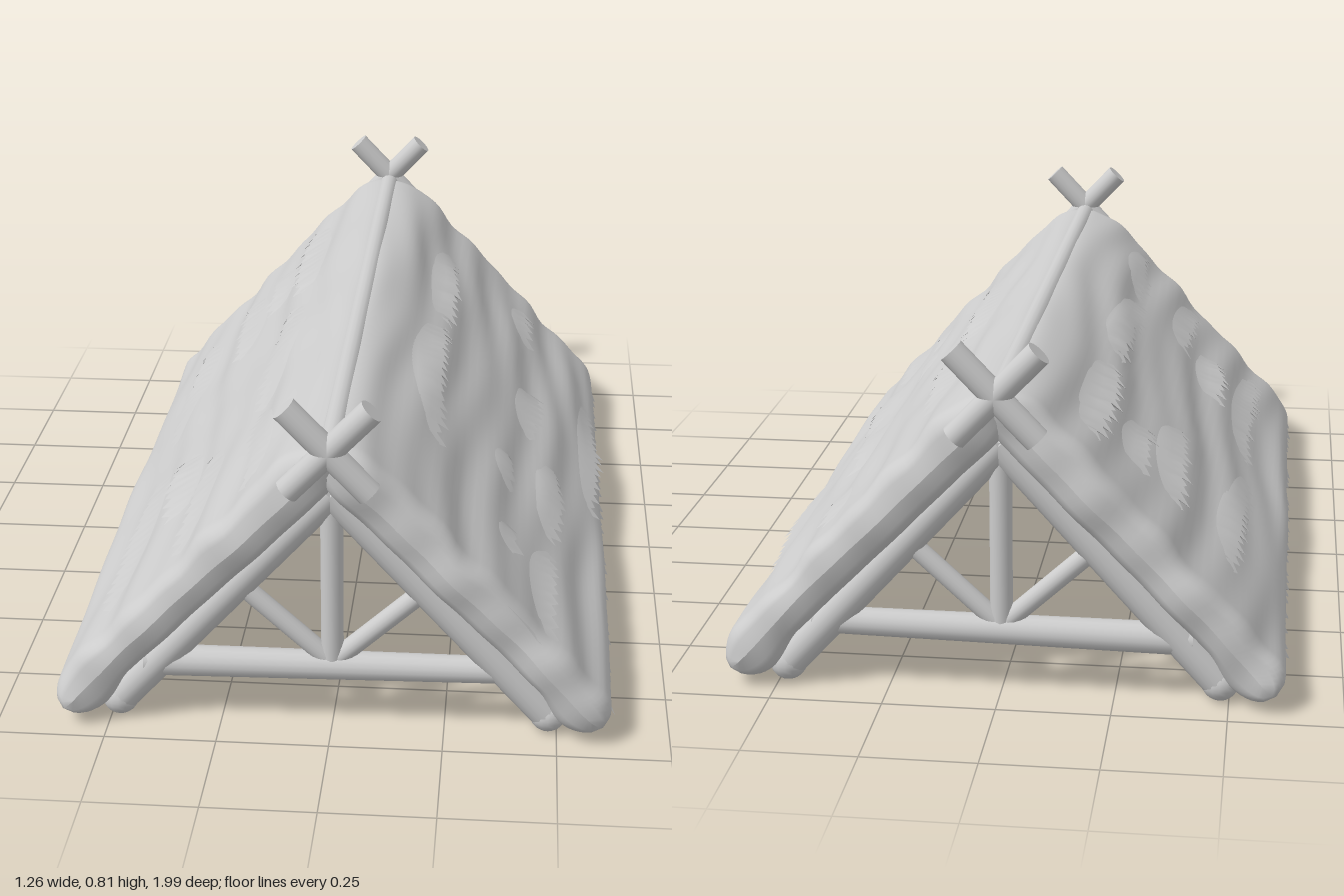
import * as THREE from 'three';

const material = new THREE.MeshStandardMaterial({ color: 0xcccccc, side: THREE.DoubleSide });
material.name = 'pale grey';

// Slope coordinates: s runs from ridge to eave, t points out of the roof
const onSlope = (s, t, z) => [0.7 * s + 0.71 * t, 0.635 - 0.71 * s + 0.7 * t, z];
const S0 = -0.05, S1 = 0.855, ZE = 0.97;
const smooth = THREE.MathUtils.smoothstep;

function random(seed) {
  return () => {
    seed = (seed * 16807) % 2147483647;
    return seed / 2147483647;
  };
}

// Uneven folds in the straw, running mostly along the roof
const lumps = (s, z, p) =>
  0.004 * Math.sin(29 * s + 1.7 * Math.sin(2.3 * z + p) + p) +
  0.003 * Math.sin(47 * s + 2.1 * Math.sin(3.7 * z - p)) +
  0.003 * Math.sin(8.3 * z + 13 * s + p) * Math.sin(5.1 * z - 6 * s);

const outerT = (s, z, p) => 0.094 - 0.034 * s + lumps(s, z, p);

// Underside: a sunken field for the lining inside a rim that swells at the eave
function innerT(s, z) {
  const inside = smooth(s, 0.03, 0.07) * (1 - smooth(s, 0.7, 0.74)) * (1 - smooth(Math.abs(z), 0.83, 0.87));
  return -0.036 + 0.05 * inside - 0.022 * smooth(s, 0.68, 0.78);
}

// Rounding near an edge at distance d
const rounding = (d, r, e) => (d >= r ? 1 : Math.pow(Math.max(0, 1 - Math.pow(1 - d / r, e)), 1 / e));

function gridGeometry(rows, cols, pointAt, wrap) {
  const pos = [], index = [];
  for (let j = 0; j < rows; j++) for (let i = 0; i < cols; i++) pos.push(...pointAt(j, i));
  const last = wrap ? cols : cols - 1;
  for (let j = 0; j < rows - 1; j++) {
    for (let i = 0; i < last; i++) {
      const a = j * cols + i, b = j * cols + (i + 1) % cols, c = a + cols, d = b + cols;
      index.push(a, c, b, b, c, d);
    }
  }
  const g = new THREE.BufferGeometry();
  g.setAttribute('position', new THREE.Float32BufferAttribute(pos, 3));
  g.setIndex(index);
  g.computeVertexNormals();
  return g;
}

function add(parent, name, geometry) {
  const m = new THREE.Mesh(geometry, material);
  m.name = name;
  parent.add(m);
  return m;
}

// Thick straw body: closed sections swept along the ridge direction
function thatchBody(p) {
  const half = 48, rows = 120;
  return gridGeometry(rows, half * 2, (j, i) => {
    const v = j / (rows - 1);
    const z = ZE * (0.45 * (2 * v - 1) - 0.55 * Math.cos(Math.PI * v));
    const u = i < half ? i / half : 2 - i / half;
    let s = S0 + (S1 - S0) * (0.4 * u + 0.3 * (1 - Math.cos(Math.PI * u)));
    const endK = rounding(ZE - Math.abs(z), 0.06, 2.2);
    const ridgeR = i < half ? 0.17 : 0.1;
    const e = rounding(s - S0, ridgeR, 2) * rounding(S1 - s, 0.08, 2.1);
    const t = i < half ? outerT(s, z, p) : innerT(s, z);
    const mid = 0.022 - 0.012 * smooth(s, 0.6, 0.85);
    s = 0.4 + (s - 0.4) * (1 - 0.09 * (1 - endK));
    const wobble = (0.005 * Math.sin(19 * s + p) + 0.003 * Math.sin(43 * s - p)) * smooth(Math.abs(z), 0.85, 0.97);
    return onSlope(s, mid + (t - mid) * e * endK, z + Math.sign(z) * wobble);
  }, true);
}

// Straw course with a ragged lower edge, emerging from the body
function fringe(sEdge, z0, z1, lift, p, rnd) {
  const rows = Math.max(8, Math.round((z1 - z0) / 0.02));
  const cols = 5;
  let tooth = 0;
  return gridGeometry(rows, cols, (j, i) => {
    const v = j / (rows - 1), k = i / (cols - 1);
    if (i === 0) tooth = j % 2 ? 0.006 + 0.024 * rnd() : -0.012 * rnd();
    const z = z0 + (z1 - z0) * v;
    const drift = 0.012 * Math.sin(7 * z + 20 * sEdge);
    const s = sEdge + drift - 0.14 * (1 - k) + (i === cols - 1 ? tooth : 0);
    const fade = Math.pow(Math.sin(Math.PI * v), 0.5);
    return onSlope(s, outerT(s, z, p) - 0.012 + (0.012 + lift) * k * fade, z);
  }, false);
}

// Hanging straw tips along the eave
function eaveTips(p, rnd) {
  const rows = 84;
  let tooth = 0;
  return gridGeometry(rows, 3, (j, i) => {
    const z = -0.9 + 1.8 * j / (rows - 1);
    if (i === 0) tooth = j % 2 ? 0.008 + 0.016 * rnd() : 0;
    const s = [0.74, 0.81, 0.84][i] + (i === 2 ? tooth : 0);
    return onSlope(s, [0.056, 0.057, 0.035][i] + 0.5 * lumps(s, z, p), z);
  }, false);
}

// One woven band of the lining, waving over and under its neighbours
function wovenBand(row) {
  const s0 = 0.04 + row * 0.136;
  return gridGeometry(109, 5, (j, i) => {
    const z = -0.86 + 1.72 * j / 108;
    const k = i / 4;
    const wave = Math.sin(Math.PI * (z + 0.86) / 0.191 + row * Math.PI);
    return onSlope(s0 + 0.14 * k, -0.008 - 0.022 * wave, z);
  }, false);
}

function log(parent, name, a, b, r, r2 = r) {
  const from = new THREE.Vector3(...a), to = new THREE.Vector3(...b);
  const dir = to.clone().sub(from);
  const m = add(parent, name, new THREE.CylinderGeometry(r2, r, dir.length(), 16));
  m.position.copy(from).add(to).multiplyScalar(0.5);
  m.quaternion.setFromUnitVectors(new THREE.Vector3(0, 1, 0), dir.normalize());
  return m;
}

// Ragged courses for each slope: [s of edge, z start, z end, lift]
const courses = [
  [[0.2, -0.7, -0.1, 0.014], [0.2, -0.15, 0.62, 0.016], [0.47, 0.22, 0.45, 0.01], [0.47, 0.58, 0.74, 0.008],
    [0.52, -0.84, -0.55, 0.01], [0.56, -0.32, 0.03, 0.016], [0.62, 0.05, 0.5, 0.016], [0.62, 0.5, 0.95, 0.012],
    [0.79, -0.65, 0.12, 0.012]],
  [[0.19, 0.25, 0.85, 0.016], [0.21, -0.45, 0.25, 0.016], [0.2, -0.92, -0.4, 0.012], [0.34, 0.4, 0.75, 0.014],
    [0.44, 0.2, 0.75, 0.016], [0.4, -0.92, -0.35, 0.012], [0.51, -0.62, -0.22, 0.016], [0.66, -0.9, 0.0, 0.012],
    [0.65, 0.0, 0.8, 0.012]],
];

export function createModel() {
  const model = new THREE.Group();
  model.name = 'thatchedRoof';

  // Two slopes, the second turned half way round
  courses.forEach((list, n) => {
    const slope = new THREE.Group();
    slope.name = n ? 'rightSlope' : 'leftSlope';
    slope.rotation.y = n * Math.PI;
    const p = 1 + n * 2.3, rnd = random(91 + n * 700);
    add(slope, 'thatch', thatchBody(p));
    for (const [s, z0, z1, lift] of list) add(slope, 'strawCourse', fringe(s, z0, z1, lift, p, rnd));
    add(slope, 'eaveStraw', eaveTips(p, rnd));
    for (let row = 0; row < 5; row++) add(slope, 'wovenLining', wovenBand(row));
    model.add(slope);
  });

  // Ridge pole
  log(model, 'ridgePole', [0, 0.68, -0.96], [0, 0.68, 0.96], 0.026);

  // Truss and crossed finial at each end
  for (const e of [-1, 1]) {
    const truss = new THREE.Group();
    truss.name = e > 0 ? 'frontTruss' : 'backTruss';
    const z = 0.89 * e, zf = 0.965 * e;
    log(truss, 'tieBeam', [-0.42, 0.138, z], [0.42, 0.146, z], 0.036, 0.03);
    log(truss, 'kingPost', [0, 0.14, z], [0, 0.58, z], 0.025);
    for (const x of [-1, 1]) {
      log(truss, 'rafter', [0.48 * x, 0.042, z], [0, 0.575, z], 0.04);
      add(truss, 'rafterFoot', new THREE.SphereGeometry(0.042, 16, 12)).position.set(0.48 * x, 0.042, z);
      log(truss, 'strut', [0.015 * x, 0.165, z], [0.21 * x, 0.345, z], 0.022);
      log(truss, 'crossedFinial', [0.092 * x, 0.795, zf], [-0.088 * x, 0.605, zf], 0.029);
    }
    model.add(truss);
  }
  return model;
}
